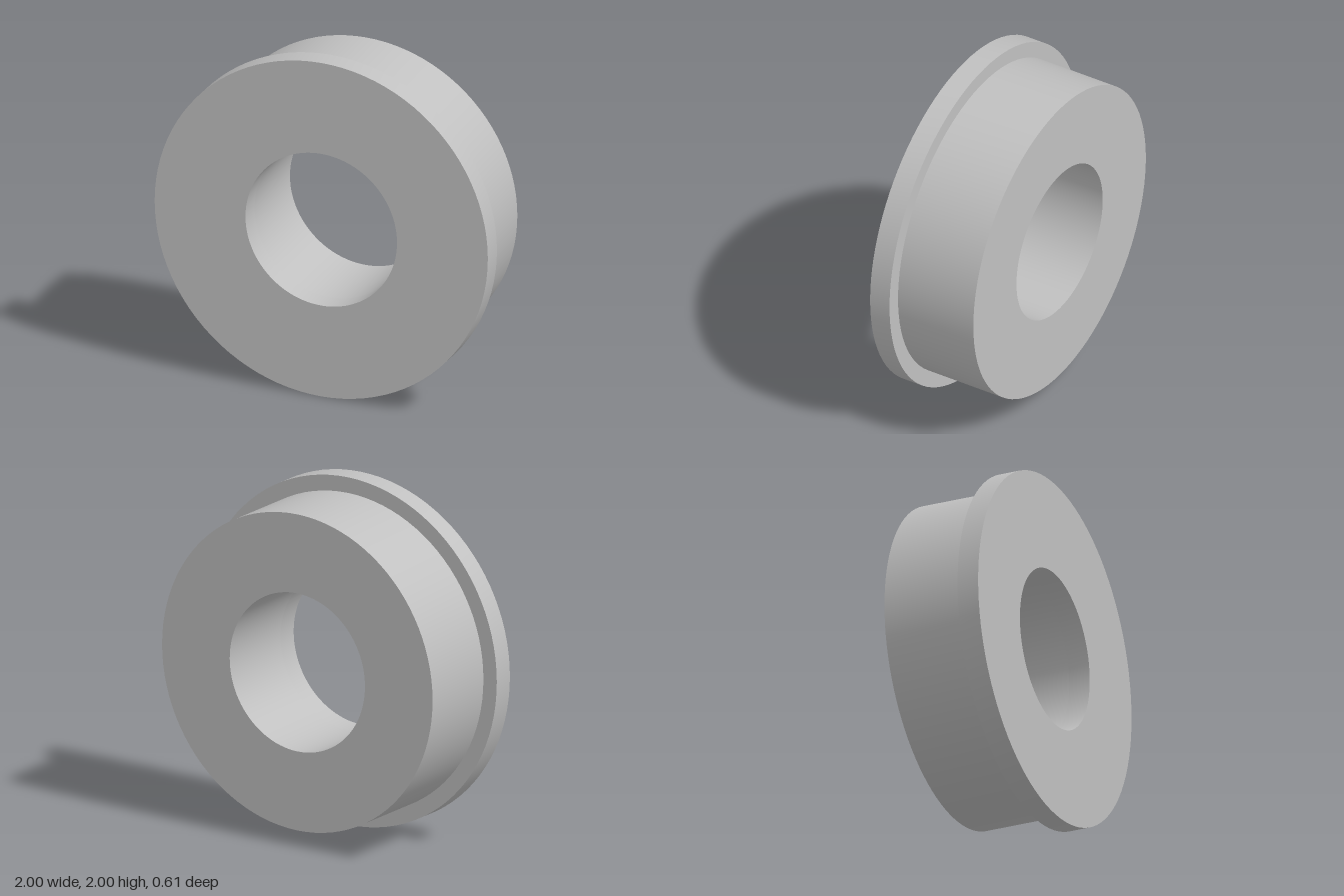
import * as THREE from 'three';
import { toCreasedNormals } from 'three/addons/utils/BufferGeometryUtils.js';

const BORE = 0.455, BODY = 0.91, FLANGE = 1;
const BACK = -0.305, STEP = 0.18, FRONT = 0.305;

export function createModel() {
  const group = new THREE.Group();
  group.name = 'flangedBushing';
  const metal = new THREE.MeshStandardMaterial({ color: 0xc0c0c0 });
  metal.name = 'grey metal';

  // Turn a [radius, depth] profile around the z axis, keeping its corners sharp
  const addTurned = (name, profile) => {
    const points = profile.map(([r, d]) => new THREE.Vector2(r, d));
    const geometry = new THREE.LatheGeometry(points, 96).rotateX(Math.PI / 2);
    const mesh = new THREE.Mesh(toCreasedNormals(geometry, Math.PI / 6), metal);
    mesh.name = name;
    mesh.position.y = FLANGE;
    group.add(mesh);
  };

  // Sleeve: bore wall, back face and outer wall
  addTurned('sleeve', [[BORE, STEP], [BORE, BACK], [BODY, BACK], [BODY, STEP]]);

  // Flange: shoulder, rim, front face and the front end of the bore
  addTurned('flange', [[BODY, STEP], [FLANGE, STEP], [FLANGE, FRONT], [BORE, FRONT], [BORE, STEP]]);

  return group;
}
